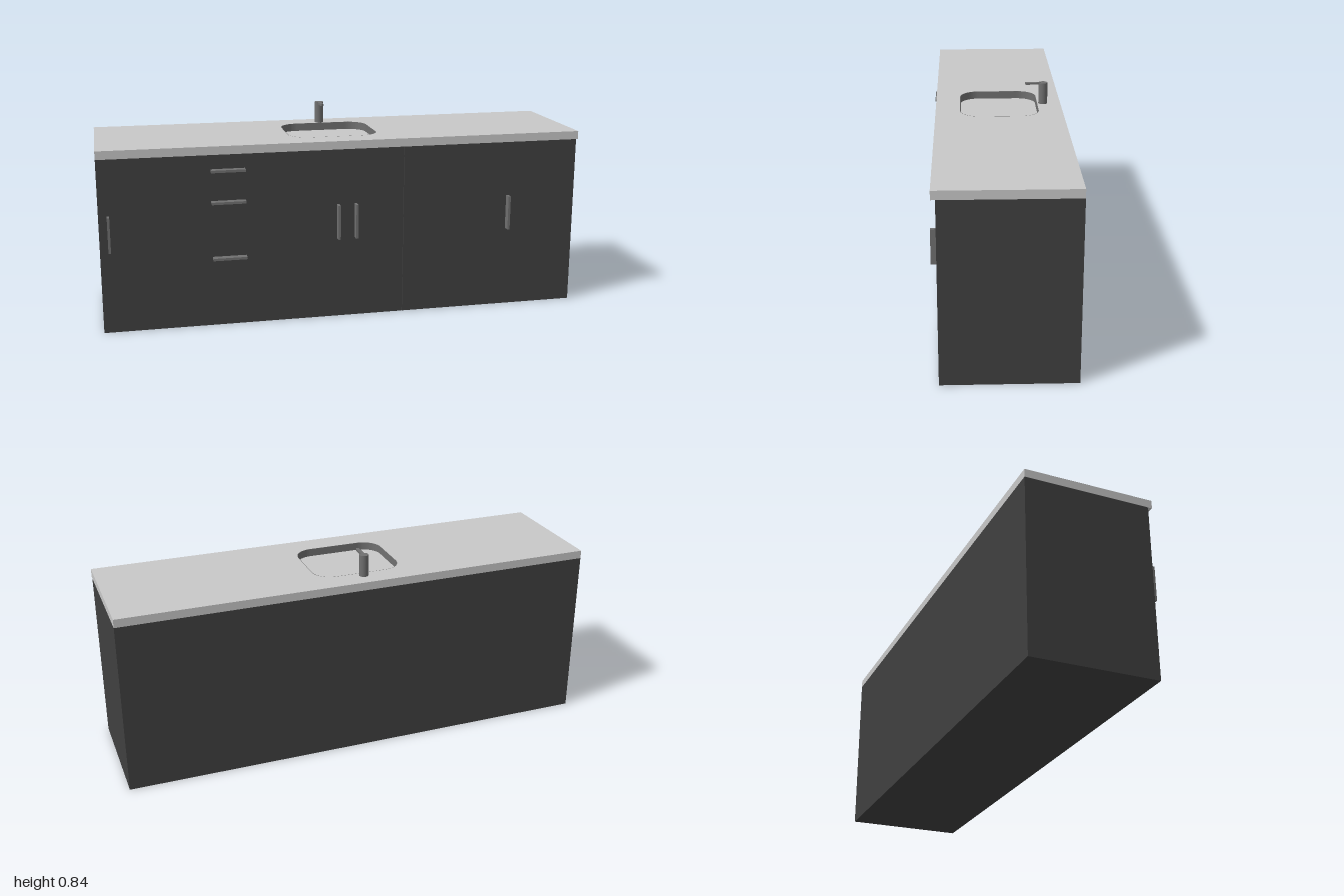
import * as THREE from 'three';

const cabinetGrey = new THREE.MeshStandardMaterial({ color: 0x404040 });
cabinetGrey.name = 'cabinetGrey';
const worktopGrey = new THREE.MeshStandardMaterial({ color: 0xc8c8c8 });
worktopGrey.name = 'worktopGrey';
const metalGrey = new THREE.MeshStandardMaterial({ color: 0x707070 });
metalGrey.name = 'metalGrey';

// Rounded rectangle; shape y becomes -z once laid flat
function roundedRect(Type, x0, x1, z0, z1, r) {
  const s = new Type();
  const a = -z1, b = -z0;
  s.moveTo(x0 + r, a);
  s.lineTo(x1 - r, a);
  s.absarc(x1 - r, a + r, r, -Math.PI / 2, 0);
  s.lineTo(x1, b - r);
  s.absarc(x1 - r, b - r, r, 0, Math.PI / 2);
  s.lineTo(x0 + r, b);
  s.absarc(x0 + r, b - r, r, Math.PI / 2, Math.PI);
  s.lineTo(x0, a + r);
  s.absarc(x0 + r, a + r, r, Math.PI, Math.PI * 1.5);
  s.closePath();
  return s;
}

// Flat slab of a shape from height y0 to y1
function slab(shape, y0, y1) {
  return new THREE.ExtrudeGeometry(shape, { depth: y1 - y0, bevelEnabled: false, curveSegments: 10 })
    .rotateX(-Math.PI / 2).translate(0, y0, 0);
}

export function createModel() {
  const model = new THREE.Group();
  model.name = 'vanityUnit';

  const add = (name, geometry, material) => {
    const mesh = new THREE.Mesh(geometry, material);
    mesh.name = name;
    model.add(mesh);
    return mesh;
  };
  const box = (name, material, x0, x1, y0, y1, z0, z1) =>
    add(name, new THREE.BoxGeometry(x1 - x0, y1 - y0, z1 - z0)
      .translate((x0 + x1) / 2, (y0 + y1) / 2, (z0 + z1) / 2), material);

  // Carcass and two front panels with a fine seam between them
  box('cabinet', cabinetGrey, -1, 1, 0, 0.716, -0.27, 0.23);
  box('widePanel', cabinetGrey, -1, 0.243, 0, 0.716, 0.23, 0.24);
  box('sidePanel', cabinetGrey, 0.245, 1, 0, 0.716, 0.23, 0.24);

  // Worktop with basin cut-out
  const top = new THREE.Shape();
  top.moveTo(-1, -0.257);
  top.lineTo(1, -0.257);
  top.lineTo(1, 0.27);
  top.lineTo(-1, 0.27);
  top.closePath();
  const basin = [-0.213, 0.162, -0.172, 0.155, 0.08];
  top.holes.push(roundedRect(THREE.Path, ...basin));
  add('worktop', slab(top, 0.716, 0.75), worktopGrey);

  // Basin wall and floor
  const wall = roundedRect(THREE.Shape, ...basin);
  wall.holes.push(roundedRect(THREE.Path, -0.211, 0.16, -0.17, 0.153, 0.078));
  add('basinWall', slab(wall, 0.716, 0.75), metalGrey);
  add('basinFloor', slab(roundedRect(THREE.Shape, ...basin), 0.7155, 0.718), worktopGrey);

  // Upright door handles
  for (const x of [-0.962, -0.036, 0.039, 0.7])
    box('doorHandle', metalGrey, x - 0.005, x + 0.005, 0.34, 0.484, 0.24, 0.27);

  // Level drawer handles
  for (const y of [0.65, 0.52, 0.287])
    box('drawerHandle', metalGrey, -0.555, -0.417, y - 0.005, y + 0.005, 0.24, 0.27);

  // Tap: round column with a thin round-ended spout
  add('tapColumn', new THREE.CylinderGeometry(0.019, 0.019, 0.09, 24)
    .translate(-0.027, 0.795, -0.196), metalGrey);
  add('tapSpout', slab(roundedRect(THREE.Shape, -0.034, -0.02, -0.19, -0.12, 0.0069), 0.832, 0.8405), metalGrey);

  return model;
}
